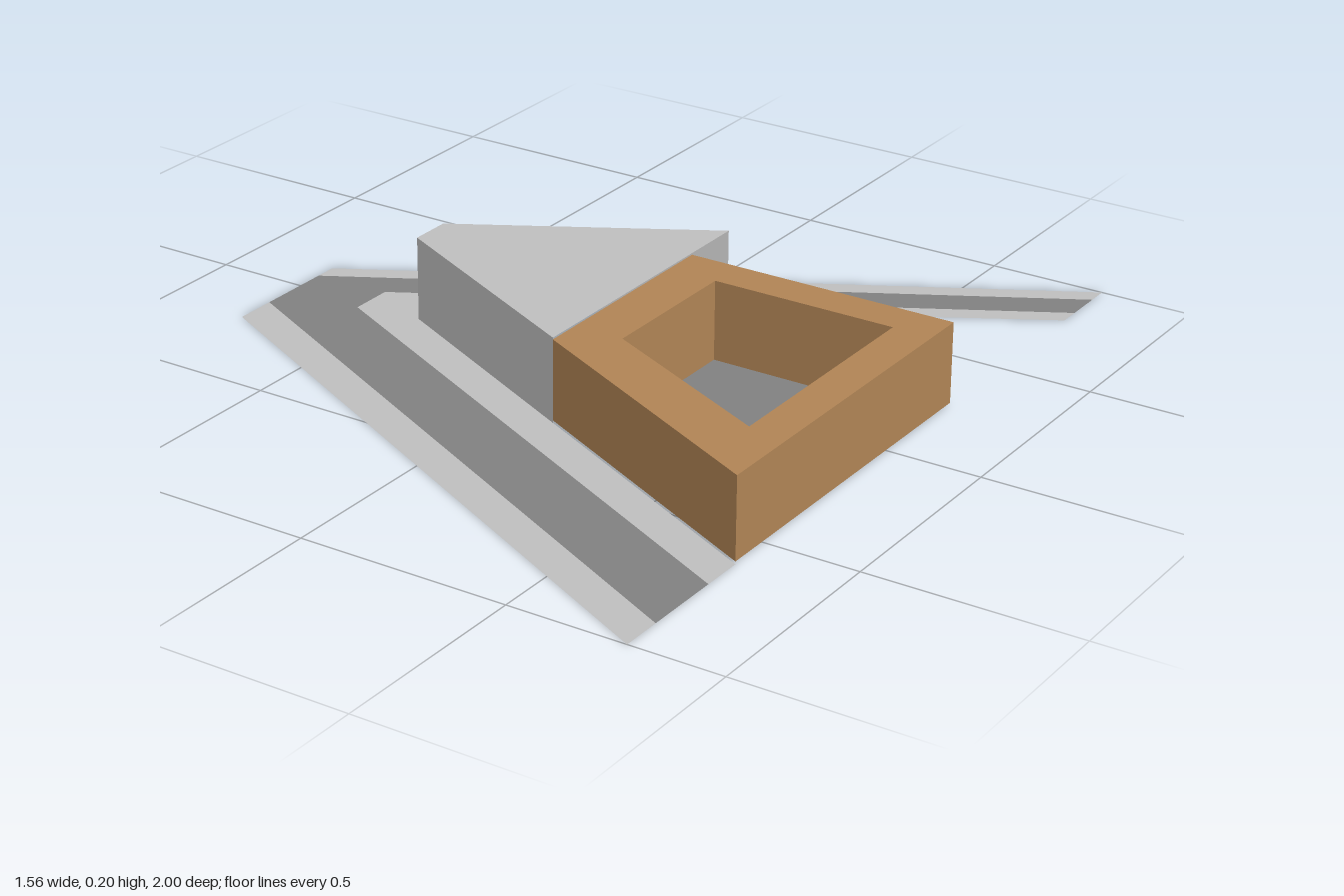
import * as THREE from 'three';

const material = (name, color) =>
  new THREE.MeshStandardMaterial({ name, color, side: THREE.DoubleSide });

// Outline given as [x, z] pairs, drawn so that it lies flat after laying down
const points = (outline) => outline.map(([x, z]) => new THREE.Vector2(x, -z));

export function createModel() {
  const model = new THREE.Group();
  const pale = material('paleGrey', 0xbebebe);
  const asphalt = material('asphaltGrey', 0x808080);
  const brown = material('brickBrown', 0xb08455);

  const add = (parent, name, geometry, mat, y = 0) => {
    const mesh = new THREE.Mesh(geometry, mat);
    mesh.name = name;
    mesh.position.y = y;
    parent.add(mesh);
    return mesh;
  };

  // Flat horizontal plate
  const plate = (parent, name, outline, mat, y = 0) =>
    add(parent, name, new THREE.ShapeGeometry(new THREE.Shape(points(outline))).rotateX(-Math.PI / 2), mat, y);

  // Upright wall from a to b, facing right-hand side of the outline
  const wall = (parent, name, a, b, height, mat) => {
    const dx = b[0] - a[0], dz = b[1] - a[1];
    const mesh = add(parent, name, new THREE.PlaneGeometry(Math.hypot(dx, dz), height), mat);
    mesh.position.set((a[0] + b[0]) / 2, height / 2, (a[1] + b[1]) / 2);
    mesh.rotation.y = -Math.atan2(dz, dx);
  };

  // Streets meeting at a blunt corner, with pavements on both sides
  const streets = new THREE.Group();
  streets.name = 'streets';
  model.add(streets);
  const E = 0.78;
  plate(streets, 'road', [
    [E, -0.95], [-E, -0.07], [-E, 0.115], [E, 0.9],
    [E, 0.71], [-0.595, 0.025], [-0.595, -0.08], [E, -0.86],
  ], asphalt);
  plate(streets, 'outerPavementBack', [[E, -1], [-E, -0.122], [-E, -0.07], [E, -0.95]], pale);
  plate(streets, 'outerPavementFront', [[E, 0.9], [-E, 0.115], [-E, 0.215], [E, 1]], pale);
  plate(streets, 'innerPavement', [
    [E, -0.86], [-0.595, -0.08], [-0.595, 0.025], [E, 0.71],
    [E, 0.61], [-0.44, 0], [-0.44, -0.1], [E, -0.81],
  ], pale);

  // Wedge-shaped building, open below and at its broad end
  const wedge = new THREE.Group();
  wedge.name = 'wedgeBuilding';
  model.add(wedge);
  const H = 0.2;
  const [a, b, c, d] = [[-0.44, -0.1], [-0.44, 0], [0.12, 0.28], [0.12, -0.425]];
  plate(wedge, 'wedgeRoof', [a, b, c, d], pale, H);
  wall(wedge, 'frontWall', b, c, H, pale);
  wall(wedge, 'backWall', d, a, H, pale);
  wall(wedge, 'tipWall', a, b, H, brown);

  // Courtyard block with a deep well
  const base = 0.006;
  const block = new THREE.Shape(points([[0.12, -0.27], [0.12, 0.28], [E, 0.61], [E, -0.27]]));
  const yard = [[0.24, -0.175], [0.24, 0.195], [0.685, 0.41], [0.685, -0.175]];
  block.holes.push(new THREE.Path(points(yard)));
  const ring = new THREE.ExtrudeGeometry(block, { depth: 0.19, bevelEnabled: false });
  add(model, 'courtyardBlock', ring.rotateX(-Math.PI / 2), brown, base);
  plate(model, 'courtyardFloor', yard, asphalt, base);

  return model;
}
